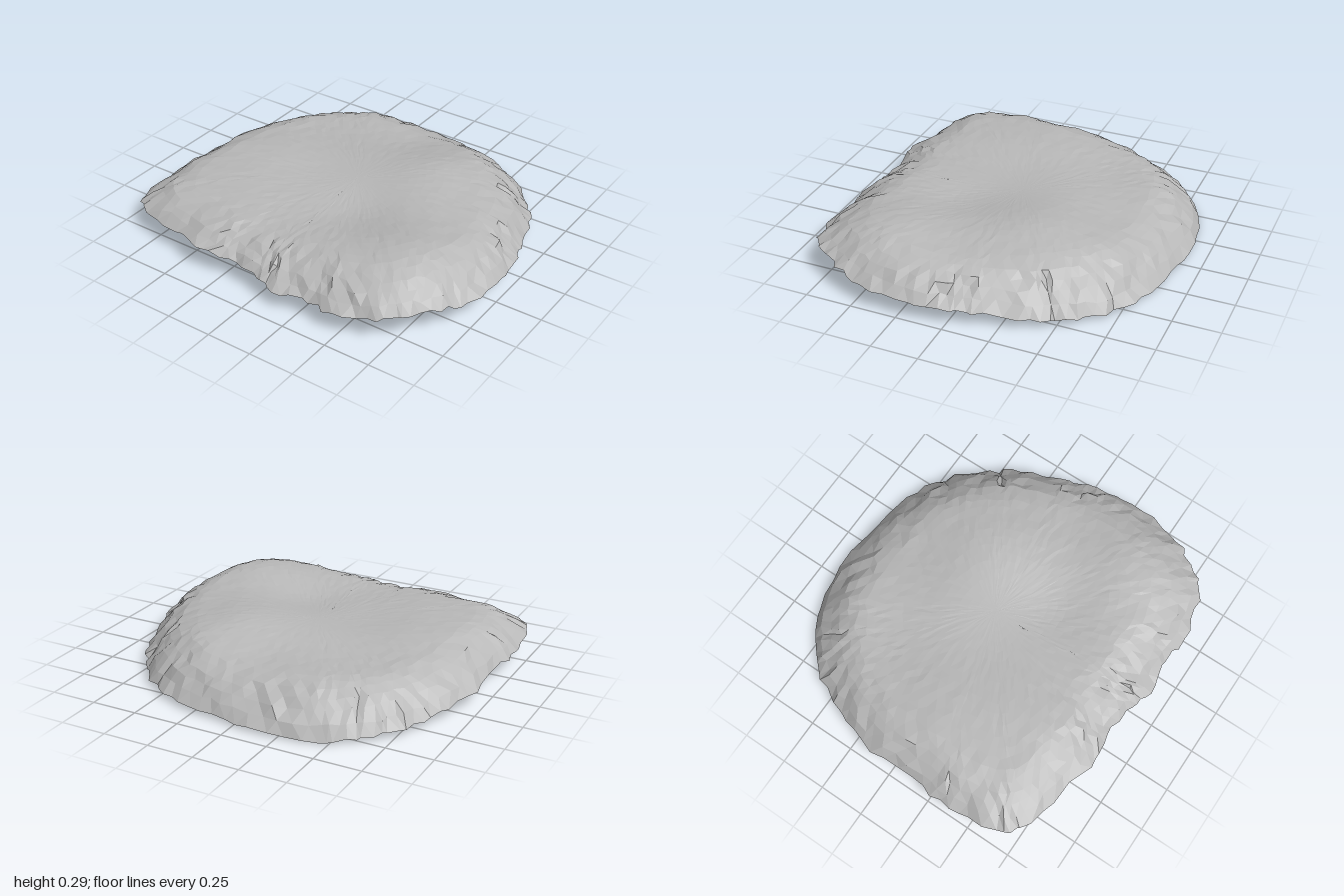
import * as THREE from 'three';

// rim: x, height, z going round from the front towards +x
const RIM = [
  [0, .11, .87], [.1, .1, .9], [.3, .1, .89], [.48, .11, .9], [.7, .14, .85], [.81, .15, .76],
  [.92, .14, .6], [.97, .11, .45], [.99, .1, .2], [.96, .09, 0], [.92, .08, -.15], [.83, .06, -.4],
  [.75, .04, -.53], [.63, .03, -.68], [.45, .02, -.8], [.2, .03, -.87], [-.08, .02, -.91],
  [-.42, .01, -.88], [-.57, .02, -.8], [-.7, .03, -.7], [-.8, .04, -.57], [-.89, .06, -.37],
  [-.96, .08, -.12], [-.97, .1, .2], [-.99, .1, .4], [-.94, .12, .65], [-.86, .13, .75],
  [-.6, .13, .81], [-.38, .13, .86], [-.2, .12, .84],
];

// soft mounds and hollows: x, z, radius, height
const MOUNDS = [
  [.6, .45, .32, .05], [.3, -.22, .28, .05], [-.6, .25, .35, .025],
  [.15, .25, .2, -.025], [0, -.75, .35, -.03], [-.65, -.5, .3, -.02],
];

// seeded noise in -1..1
function makeNoise(seed) {
  let s = seed;
  return () => {
    s = (s * 16807) % 2147483647;
    return (s / 2147483647) * 2 - 1;
  };
}

function topHeight(x, z) {
  let h = .236 + .004 * Math.sin(9 * x + 4 * z) * Math.sin(8 * z - 3 * x);
  for (const [mx, mz, r, a] of MOUNDS) {
    h += a * Math.exp(-((x - mx) ** 2 + (z - mz) ** 2) / (r * r));
  }
  return h;
}

// domed open shell: rings from the middle out to the ragged rim
function shellGeometry() {
  const around = 112, rings = 20;
  const noise = makeNoise(4711);
  const curve = new THREE.CatmullRomCurve3(RIM.map((p) => new THREE.Vector3(...p)), true);
  const pos = [0, topHeight(0, 0), 0];
  const index = [];
  for (let j = 1; j <= rings; j++) {
    const s = j / rings;
    for (let i = 0; i < around; i++) {
      const p = curve.getPoint(((i + (j % 2) * .5) / around) % 1);
      const jitter = .014 * s;
      const x = p.x * s + noise() * jitter;
      const z = p.z * s + noise() * jitter;
      const reach = Math.hypot(p.x, p.z);
      const width = .26 + .06 * Math.abs(p.z);
      const d = Math.min((1 - s) * reach / width, 1);
      const rise = 1 - Math.pow(1 - d, 2.1);
      const rough = (.003 + .007 * (1 - d)) * s;
      const y = p.y + (topHeight(x, z) - p.y) * rise + noise() * rough;
      pos.push(THREE.MathUtils.clamp(x, -1, 1), Math.max(0, y), z);
    }
  }
  const at = (j, i) => 1 + (j - 1) * around + (i % around);
  for (let i = 0; i < around; i++) {
    index.push(0, at(1, i), at(1, i + 1));
    for (let j = 1; j < rings; j++) {
      const a = at(j, i), b = at(j, i + 1), c = at(j + 1, i), d = at(j + 1, i + 1);
      // odd rings are shifted half a step, so the diagonal alternates
      if (j % 2) index.push(a, c, d, a, d, b);
      else index.push(a, c, b, b, c, d);
    }
  }
  const g = new THREE.BufferGeometry();
  g.setAttribute('position', new THREE.Float32BufferAttribute(pos, 3));
  g.setIndex(index);
  g.computeVertexNormals();
  return g;
}

export function createModel() {
  const group = new THREE.Group();
  group.name = 'stoneSlab';
  const stone = new THREE.MeshStandardMaterial({
    color: 0xb8b8b8, flatShading: true, side: THREE.DoubleSide,
  });
  stone.name = 'stone grey';
  const shell = new THREE.Mesh(shellGeometry(), stone);
  shell.name = 'slabShell';
  group.add(shell);
  return group;
}
